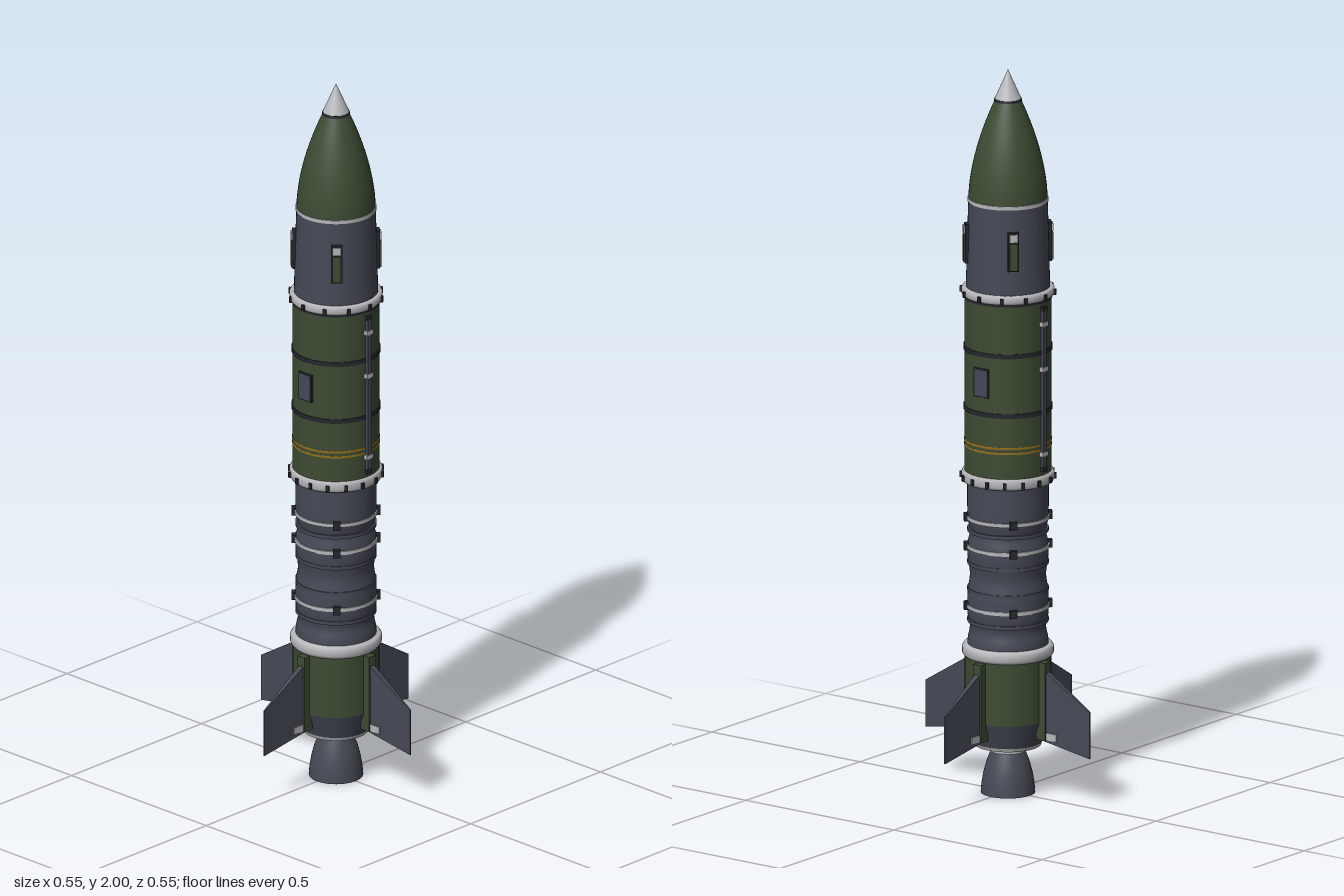
import * as THREE from 'three';

const mat = (name, color, side = THREE.FrontSide) => {
  const m = new THREE.MeshStandardMaterial({ color, side });
  m.name = name;
  return m;
};

export function createModel() {
  const green = mat('olive green', 0x3d4b33);
  const dark = mat('slate grey', 0x454955);
  const silver = mat('silver', 0xb8b8bc);
  const black = mat('black trim', 0x25272d);
  const gold = mat('dull gold', 0x94701c);
  const root = new THREE.Group();
  root.name = 'rocket';
  const SEG = 48;

  const add = (name, geometry, material, parent = root) => {
    const m = new THREE.Mesh(geometry, material);
    m.name = name;
    parent.add(m);
    return m;
  };
  // Closed drum between two heights
  const drum = (name, y0, y1, r0, r1, material) => {
    const m = add(name, new THREE.CylinderGeometry(r1, r0, y1 - y0, SEG), material);
    m.position.y = (y0 + y1) / 2;
    return m;
  };
  const lathe = (name, pts, material) =>
    add(name, new THREE.LatheGeometry(pts.map(([r, y]) => new THREE.Vector2(r, y)), SEG), material);
  const box = (name, w, h, d, x, y, z, material, parent) => {
    const m = add(name, new THREE.BoxGeometry(w, h, d), material, parent);
    m.position.set(x, y, z);
    return m;
  };
  // Repeats a part around the body; inside each group +z points outward
  const around = (name, count, offset, build) => {
    for (let i = 0; i < count; i++) {
      const g = new THREE.Group();
      g.name = name;
      g.rotation.y = offset + (i / count) * Math.PI * 2;
      build(g);
      root.add(g);
    }
  };

  // Nose
  drum('noseTip', 1.92, 2, 0.036, 0.0005, silver);
  drum('noseTipCollar', 1.914, 1.921, 0.038, 0.0365, black);
  const ogive = [];
  for (let i = 0; i <= 14; i++) {
    const t = i / 14;
    ogive.push([0.106 - 0.07 * Math.pow(t, 1.75), 1.645 + 0.27 * t]);
  }
  lathe('noseCone', ogive, green);
  drum('noseRing', 1.638, 1.648, 0.1085, 0.1085, silver);

  // Guidance section with four diagonal fairings
  drum('guidanceSection', 1.395, 1.639, 0.113, 0.1065, dark);
  around('fairing', 4, Math.PI / 4, g => {
    box('fairingBase', 0.03, 0.108, 0.012, 0, 1.524, 0.111, black, g);
    box('fairingCover', 0.022, 0.075, 0.012, 0, 1.51, 0.115, green, g);
    box('fairingCap', 0.022, 0.022, 0.012, 0, 1.562, 0.115, silver, g);
  });

  // Main body with bands and stripes
  drum('mainBody', 0.89, 1.385, 0.117, 0.117, green);
  for (const y of [1.235, 1.07]) drum('bodyBand', y - 0.006, y + 0.006, 0.1195, 0.1195, black);
  for (const y of [0.966, 0.98]) drum('goldStripe', y - 0.003, y + 0.003, 0.1174, 0.1174, gold);

  // Bolted joint rings
  const jointRing = (y, h, bolts, offset) => {
    lathe('jointRing', [[0.112, y - h], [0.121, y - h], [0.125, y - h * 0.5], [0.125, y + h * 0.5], [0.121, y + h], [0.112, y + h]], silver);
    around('ringBolt', bolts, offset, g => box('bolt', 0.009, 0.016, 0.008, 0, y - 0.002, 0.126, black, g));
  };
  drum('upperJointTrim', 1.372, 1.38, 0.1185, 0.1185, black);
  jointRing(1.391, 0.012, 12, 0);
  jointRing(0.88, 0.015, 16, Math.PI / 16);

  // Access hatches front and back
  around('hatch', 2, 0, g => {
    box('hatchFrame', 0.048, 0.08, 0.006, 0, 1.157, 0.1165, black, g);
    box('hatchPanel', 0.04, 0.072, 0.006, 0, 1.157, 0.118, dark, g);
  });

  // Cable raceways on both sides
  around('raceway', 2, Math.PI / 2, g => {
    box('racewayDuct', 0.014, 0.45, 0.012, 0, 1.135, 0.119, dark, g);
    for (const y of [1.315, 1.19, 0.955]) box('racewayClip', 0.024, 0.012, 0.014, 0, y, 0.12, silver, g);
    for (const y of [1.357, 0.913]) box('racewayEnd', 0.018, 0.012, 0.014, 0, y, 0.119, black, g);
  });

  // Waisted motor section with ribs and clamps
  const motor = [];
  for (let i = 0; i <= 60; i++) {
    const y = 0.405 + (0.465 * i) / 60;
    let r = 0.109;
    for (const [c, w] of [[0.725, 0.035], [0.605, 0.05], [0.46, 0.035]]) {
      r -= 0.007 * Math.exp(-Math.pow((y - c) / w, 2) * 2);
    }
    motor.push([r, y]);
  }
  lathe('motorSection', motor, dark);
  for (const y of [0.815, 0.73, 0.64, 0.565, 0.48]) drum('motorRib', y - 0.005, y + 0.005, 0.109, 0.109, dark);
  for (const y of [0.765, 0.685, 0.52]) {
    drum('clampBand', y - 0.005, y + 0.005, 0.112, 0.112, silver);
    around('clamp', 4, Math.PI / 4, g => box('clampBlock', 0.02, 0.022, 0.014, 0, y, 0.112, black, g));
  }

  // Tail section
  lathe('tailRing', [[0.105, 0.38], [0.118, 0.382], [0.123, 0.39], [0.123, 0.405], [0.118, 0.413], [0.105, 0.416]], silver);
  drum('tailBody', 0.21, 0.384, 0.116, 0.116, green);
  drum('tailTaper', 0.14, 0.21, 0.091, 0.116, dark);
  drum('basePlate', 0.132, 0.142, 0.088, 0.092, silver);

  // Engine
  drum('engineNeck', 0.105, 0.134, 0.043, 0.043, dark);
  drum('engineCollar', 0.116, 0.126, 0.051, 0.051, silver);
  const bell = [[0.073, 0], [0.071, 0.025], [0.066, 0.055], [0.058, 0.085], [0.046, 0.115]];
  lathe('engineBell', bell, dark);
  lathe('bellInterior', bell.map(([r, y]) => [r - 0.004, y]).reverse(), black);
  const lip = add('bellLip', new THREE.RingGeometry(0.069, 0.073, SEG), dark);
  lip.rotation.x = Math.PI / 2;
  const throat = add('bellThroat', new THREE.CircleGeometry(0.043, SEG), black);
  throat.rotation.x = Math.PI / 2;
  throat.position.y = 0.113;

  // Fins: extruded outline whose thickness tapers toward the tip
  const outline = new THREE.Shape([[0.11, 0.165], [0.277, 0.135], [0.277, 0.265], [0.11, 0.367]].map(p => new THREE.Vector2(...p)));
  const finGeo = new THREE.ExtrudeGeometry(outline, { depth: 1, bevelEnabled: false });
  const p = finGeo.attributes.position;
  for (let i = 0; i < p.count; i++) {
    const t = (p.getX(i) - 0.11) / 0.167;
    p.setZ(i, (p.getZ(i) - 0.5) * (0.018 - 0.014 * t));
  }
  finGeo.rotateY(-Math.PI / 2);
  finGeo.computeVertexNormals();
  around('finAssembly', 4, 0, g => {
    add('fin', finGeo, dark, g);
    box('finMount', 0.027, 0.215, 0.03, 0, 0.272, 0.12, green, g);
    box('finHinge', 0.02, 0.02, 0.034, 0, 0.176, 0.153, silver, g);
  });

  return root;
}
